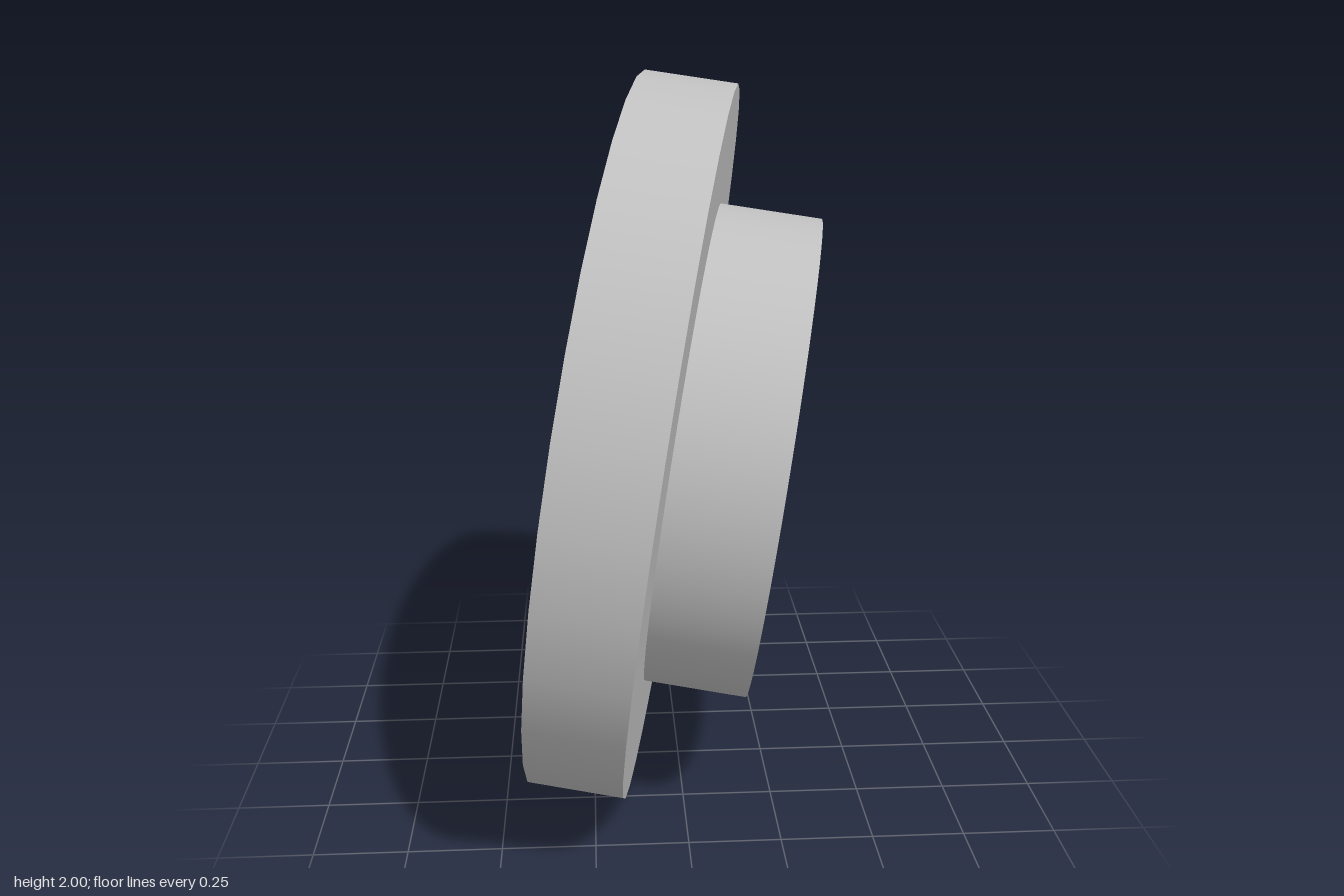
import * as THREE from 'three';

const FLANGE_R = 0.993, HUB_R = 0.672, BORE_R = 0.427;
const FLANGE_T = 0.252, TOTAL_T = 0.532;
const FLANGE_SIDES = 32, HUB_SIDES = 64;

export function createModel() {
  const steel = new THREE.MeshStandardMaterial({ color: 0xbfbfbf });
  steel.name = 'plain grey';
  const bushing = new THREE.Group();
  bushing.name = 'flangedBushing';

  const add = (name, geometry) => {
    const mesh = new THREE.Mesh(geometry, steel);
    mesh.name = name;
    bushing.add(mesh);
  };

  // Round wall about y; running from high to low makes it face inward
  const wall = (r, from, to, sides) =>
    new THREE.LatheGeometry([new THREE.Vector2(r, from), new THREE.Vector2(r, to)], sides);

  const circle = (r, sides) => Array.from({ length: sides }, (_, i) => {
    const a = (i / sides) * Math.PI * 2;
    return new THREE.Vector2(r * Math.cos(a), r * Math.sin(a));
  });

  // Flat ring at height y, facing up (1) or down (-1)
  const ring = (outer, outerSides, inner, y, facing) => {
    const shape = new THREE.Shape(circle(outer, outerSides));
    shape.holes.push(new THREE.Path(circle(inner, HUB_SIDES)));
    return new THREE.ShapeGeometry(shape).rotateX(-facing * Math.PI / 2).translate(0, y, 0);
  };

  // Wide flange
  add('flangeBack', ring(FLANGE_R, FLANGE_SIDES, BORE_R, 0, -1));
  add('flangeRim', wall(FLANGE_R, 0, FLANGE_T, FLANGE_SIDES));
  add('flangeShoulder', ring(FLANGE_R, FLANGE_SIDES, HUB_R, FLANGE_T, 1));

  // Narrower hub and the bore through both
  add('hubWall', wall(HUB_R, FLANGE_T, TOTAL_T, HUB_SIDES));
  add('hubFace', ring(HUB_R, HUB_SIDES, BORE_R, TOTAL_T, 1));
  add('boreWall', wall(BORE_R, TOTAL_T, 0, HUB_SIDES));

  // Tilt the axis towards +x, slightly down and forward
  const axis = new THREE.Vector3(0.98, -0.14, 0.14).normalize();
  bushing.quaternion.setFromUnitVectors(new THREE.Vector3(0, 1, 0), axis);
  bushing.position.set(-0.23, 1.0175, -0.0175);

  const model = new THREE.Group();
  model.name = 'model';
  model.add(bushing);
  return model;
}
